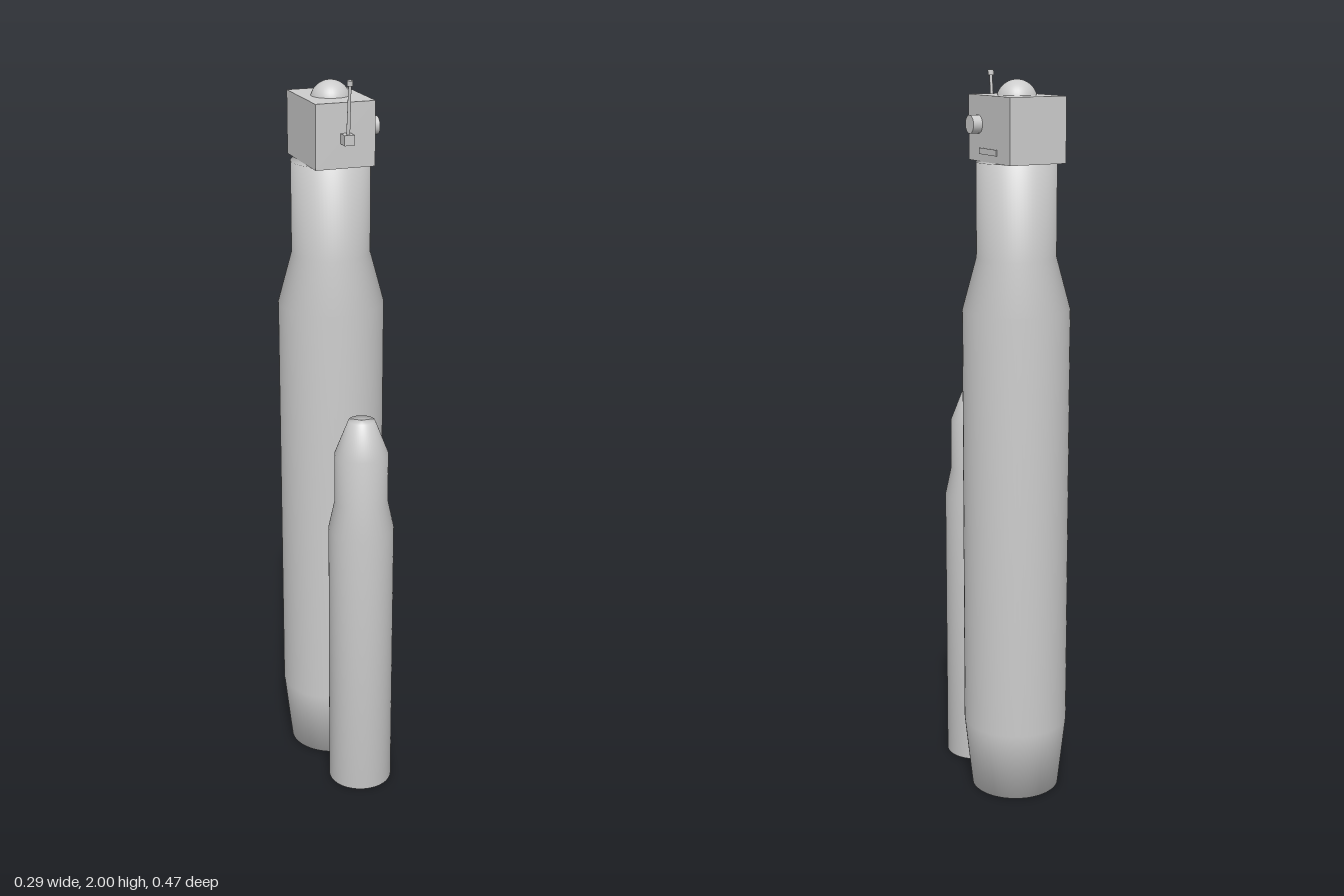
import * as THREE from 'three';

export function createModel() {
  const model = new THREE.Group();
  const material = new THREE.MeshStandardMaterial({ color: 0xcccccc, side: THREE.DoubleSide });

  const add = (name, geometry, x, y, z) => {
    const mesh = new THREE.Mesh(geometry, material);
    mesh.name = name;
    mesh.position.set(x, y, z);
    model.add(mesh);
    return mesh;
  };
  // Smooth closed turned form from [radius, height] pairs
  const turned = (points) =>
    new THREE.LatheGeometry(points.map(([r, y]) => new THREE.Vector2(r, y)), 64);

  // Tall rear body with tapered foot and shoulder
  add('tallBody', turned([
    [0, 0], [0.123, 0], [0.145, 0.2], [0.145, 1.38], [0.107, 1.52], [0.107, 1.77], [0, 1.77],
  ]), 0, 0, -0.093);

  // Short front body with a blunt tip
  add('shortBody', turned([
    [0, 0], [0.09, 0], [0.09, 0.8], [0.073, 0.88], [0.073, 1.02], [0.036, 1.115], [0, 1.115],
  ]), 0, 0, 0.147);

  // Head block with domed cap
  add('head', new THREE.BoxGeometry(0.164, 0.17, 0.23), 0, 1.855, -0.093);
  add('dome', new THREE.SphereGeometry(0.054, 32, 12, 0, Math.PI * 2, 0, Math.PI / 2),
    0, 1.926, -0.093);

  // Side knob and slot plate
  const knob = add('sideKnob', new THREE.CylinderGeometry(0.024, 0.024, 0.028, 24), 0.094, 1.865, -0.034);
  knob.rotation.z = Math.PI / 2;
  add('sideSlot', new THREE.BoxGeometry(0.004, 0.016, 0.098), 0.082, 1.797, -0.089);

  // Front antenna: mount, leaning rod and tip
  add('antennaMount', new THREE.BoxGeometry(0.028, 0.027, 0.032), 0, 1.848, 0.037);
  const foot = new THREE.Vector3(0, 1.855, 0.04);
  const tip = new THREE.Vector3(0, 1.993, 0.053);
  const direction = tip.clone().sub(foot);
  const middle = foot.clone().lerp(tip, 0.5);
  const lean = new THREE.Quaternion().setFromUnitVectors(
    new THREE.Vector3(0, 1, 0), direction.clone().normalize());
  add('antennaRod', new THREE.CylinderGeometry(0.004, 0.005, direction.length(), 12),
    ...middle.toArray()).quaternion.copy(lean);
  add('antennaTip', new THREE.CylinderGeometry(0.008, 0.008, 0.014, 12),
    ...tip.toArray()).quaternion.copy(lean);

  return model;
}
